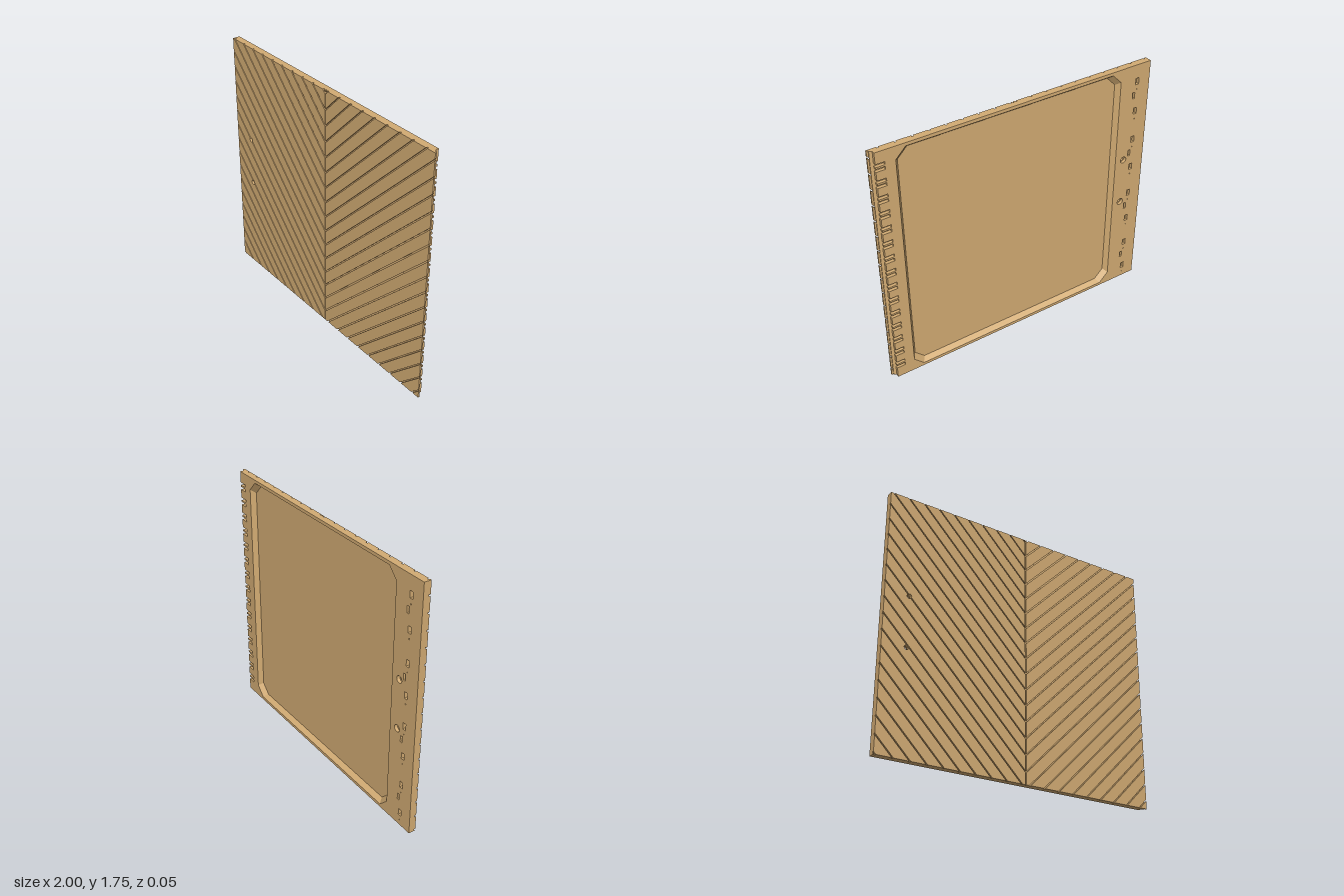
import * as THREE from 'three';

const H = 1.75;                       // panel height
const BACK = -0.025, MID = -0.003, FLOOR = 0.008, PLANK = 0.014, FRONT = 0.025;
const EDGE = 0.972, LIP = 0.988;      // hinge edge of the body, and of the front sheet
const SEAM = 0.03, PITCH = 0.11, GAP = 0.004;
const BOLTS = [[-0.832, 1.048], [-0.832, 0.702]];
const BOLT_R = 0.016;

// recess in the back: centre, half sizes, corner cut, wall slope
const RC = { x: 0.04, y: H / 2, hw: 0.805, hh: H / 2 - 0.022, cut: 0.068, slope: 0.025 };

const v = (x, y) => new THREE.Vector2(x, y);

function rectPath(x, y, w, h) {
  return new THREE.Path([v(x - w / 2, y - h / 2), v(x + w / 2, y - h / 2), v(x + w / 2, y + h / 2), v(x - w / 2, y + h / 2)]);
}

function circlePath([x, y], r) {
  return new THREE.Path().absarc(x, y, r, 0, Math.PI * 2);
}

function recessPath() {
  const { x, y, hw, hh, cut } = RC;
  const pts = [];
  for (const [sx, sy, first] of [[1, 1, 0], [-1, 1, 1], [-1, -1, 0], [1, -1, 1]]) {
    const pair = [v(x + sx * hw, y + sy * (hh - cut)), v(x + sx * (hw - cut), y + sy * hh)];
    pts.push(...(first ? pair.reverse() : pair));
  }
  return new THREE.Path(pts);
}

function sheet(shape, z0, z1) {
  const g = new THREE.ExtrudeGeometry(shape, { depth: z1 - z0, bevelEnabled: false, curveSegments: 12 });
  g.translate(0, 0, z0);
  return g;
}

// tapers the recess walls inward with z and moves the hinge edge outward
function shapeWalls(g, edgeShift) {
  const p = g.attributes.position;
  for (let i = 0; i < p.count; i++) {
    const x = p.getX(i), y = p.getY(i), z = p.getZ(i);
    const dx = x - RC.x, dy = y - RC.y;
    if (Math.abs(dx) < RC.hw + 0.005 && Math.abs(dy) < RC.hh + 0.005) {
      const inset = RC.slope * (z - BACK) / (FLOOR - BACK);
      p.setXY(i, RC.x + dx * (1 - inset / RC.hw), RC.y + dy * (1 - inset / RC.hh));
    } else if (x > EDGE - 0.01) {
      p.setX(i, x + edgeShift * (z - MID) / (FLOOR - MID));
    }
  }
  g.computeVertexNormals();
  return g;
}

// keeps the part of a polygon where sign * (y - limit) >= 0
function clipY(pts, limit, sign) {
  const out = [];
  pts.forEach((a, i) => {
    const b = pts[(i + 1) % pts.length];
    const da = sign * (a.y - limit), db = sign * (b.y - limit);
    if (da >= 0) out.push(a);
    if (da * db < 0) out.push(a.clone().lerp(b, da / (da - db)));
  });
  return out;
}

// bites a round hole out of any polygon edge that crosses it
function biteCircle(pts, [cx, cy], r) {
  const out = [], c = v(cx, cy);
  pts.forEach((a, i) => {
    const b = pts[(i + 1) % pts.length];
    out.push(a);
    const len = a.distanceTo(b), d = b.clone().sub(a).normalize();
    const along = c.clone().sub(a).dot(d);
    const off = c.distanceTo(a.clone().addScaledVector(d, along));
    if (off >= r) return;
    const half = Math.sqrt(r * r - off * off);
    if (along - half <= 0 || along + half >= len) return;
    const p1 = a.clone().addScaledVector(d, along - half).sub(c);
    const p2 = a.clone().addScaledVector(d, along + half).sub(c);
    const a1 = p1.angle();
    let a2 = p2.angle();
    if (a2 > a1) a2 -= Math.PI * 2;
    for (let k = 0; k <= 10; k++) {
      const t = a1 + (a2 - a1) * k / 10;
      out.push(v(cx + r * Math.cos(t), cy + r * Math.sin(t)));
    }
  });
  return out;
}

export function createModel() {
  const model = new THREE.Group();
  model.name = 'groovedDoorPanel';
  const wood = new THREE.MeshStandardMaterial({ color: 0xd2ab73 });
  wood.name = 'tan wood';
  const add = (name, geometry, parent = model) => {
    const m = new THREE.Mesh(geometry, wood);
    m.name = name;
    parent.add(m);
  };

  // back layer: outline with pairs of hinge slots cut into one edge
  const outline = [v(-1, 0), v(EDGE, 0)];
  for (let k = 0; k < 15; k++) {
    for (const s of [-1, 1]) {
      const y = 0.107 + PITCH * k + s * 0.016;
      outline.push(v(EDGE, y - 0.01), v(0.912, y - 0.01), v(0.912, y + 0.01), v(EDGE, y + 0.01));
    }
  }
  outline.push(v(EDGE, H), v(-1, H));
  const back = new THREE.Shape(outline);
  back.holes.push(recessPath());
  for (const b of BOLTS) back.holes.push(circlePath(b, 0.024));
  for (let k = 0; k < 8; k++) {
    const y = 0.097 + 0.219 * k;
    back.holes.push(rectPath(-0.9, y, 0.026, 0.046));
    back.holes.push(rectPath(-0.9, y - 0.058, 0.007, 0.007));
  }
  for (let k = 0; k < 4; k++) back.holes.push(rectPath(-0.878, 0.21 + 0.44 * k, 0.018, 0.046));
  add('backFrame', shapeWalls(sheet(back, BACK, MID), 0));

  // middle layer: same recess, hinge edge sloping outward
  const mid = new THREE.Shape([v(-1, 0), v(EDGE, 0), v(EDGE, H), v(-1, H)]);
  mid.holes.push(recessPath(), ...BOLTS.map((b) => circlePath(b, BOLT_R)));
  add('middleFrame', shapeWalls(sheet(mid, MID, FLOOR), LIP - EDGE));

  // thin sheet closing the recess and carrying the planks
  const front = new THREE.Shape([v(-1, 0), v(LIP, 0), v(LIP, H), v(-1, H)]);
  front.holes.push(...BOLTS.map((b) => circlePath(b, BOLT_R)));
  add('recessFloor', sheet(front, FLOOR, PLANK));

  // diagonal planks meeting at the seam, with narrow grooves between
  const w = GAP * Math.SQRT2;
  for (const side of [-1, 1]) {
    const planks = new THREE.Group();
    planks.name = side < 0 ? 'rightPlanks' : 'leftPlanks';
    model.add(planks);
    const x0 = side < 0 ? -1 : SEAM + GAP;
    const x1 = side < 0 ? SEAM - GAP : 1;
    for (let k = -12; k <= 16; k++) {
      const yAt = (x, n) => 0.08 + PITCH * n + Math.abs(x - SEAM);
      let pts = [v(x0, yAt(x0, k) + w), v(x1, yAt(x1, k) + w), v(x1, yAt(x1, k + 1) - w), v(x0, yAt(x0, k + 1) - w)];
      pts = clipY(clipY(pts, 0, 1), H, -1);
      if (pts.length < 3) continue;
      for (const b of BOLTS) pts = biteCircle(pts, b, BOLT_R);
      add('plank', sheet(new THREE.Shape(pts), PLANK, FRONT), planks);
    }
  }
  return model;
}
